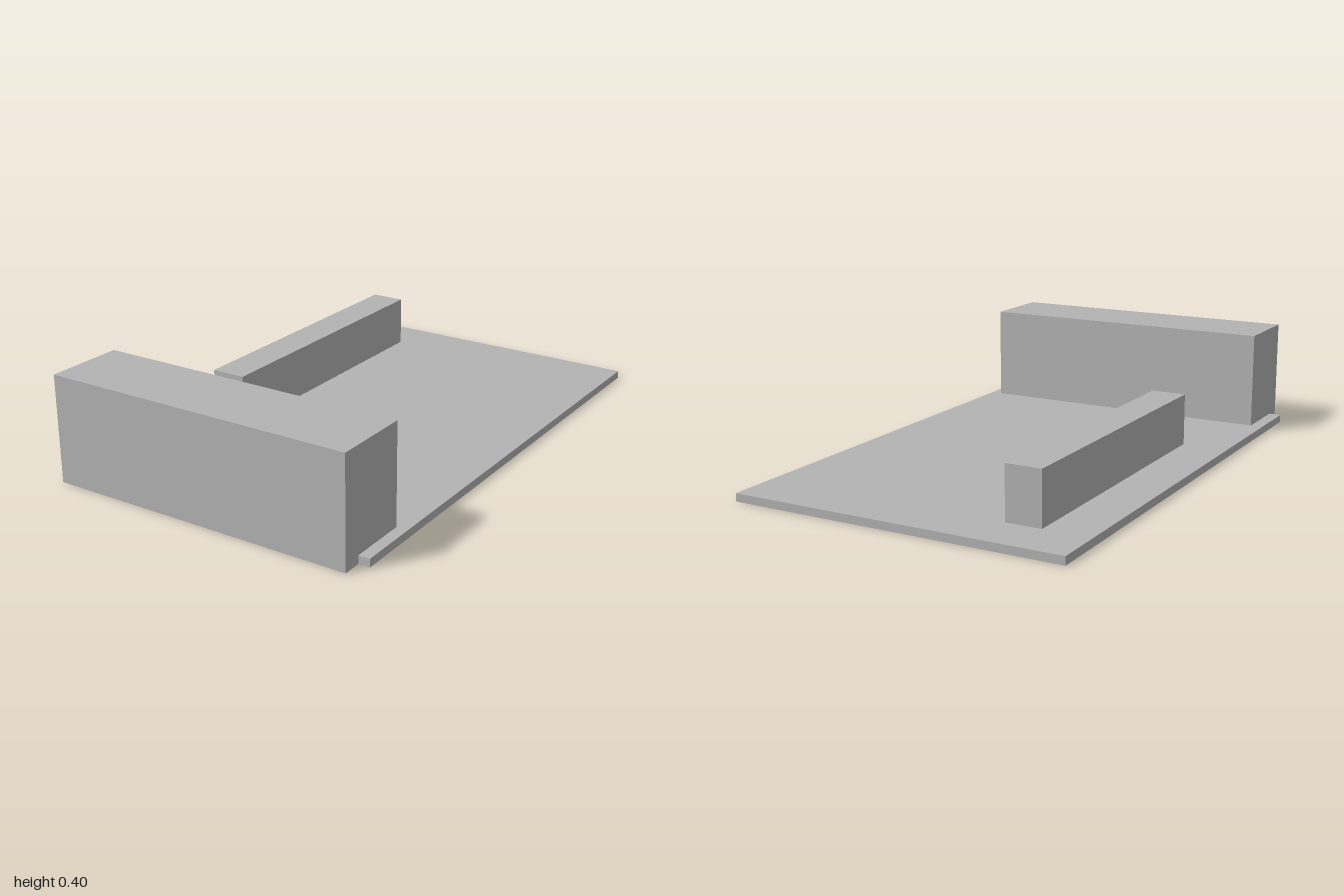
import * as THREE from 'three';

export function createModel() {
  const model = new THREE.Group();
  const grey = new THREE.MeshStandardMaterial({ color: 0xb3b3b3 });
  grey.name = 'grey';

  // Box given by its two opposite corners
  function addBox(name, [x0, y0, z0], [x1, y1, z1]) {
    const mesh = new THREE.Mesh(new THREE.BoxGeometry(x1 - x0, y1 - y0, z1 - z0), grey);
    mesh.name = name;
    mesh.position.set((x0 + x1) / 2, (y0 + y1) / 2, (z0 + z1) / 2);
    model.add(mesh);
  }

  // Thin base plate
  addBox('basePlate', [-0.635, 0, -1], [0.635, 0.03, 0.93]);
  // Tall block across the front, reaching past the plate edge down to the ground
  addBox('frontBlock', [-0.587, 0, 0.707], [0.593, 0.4, 1]);
  // Low bar running lengthwise on the right side
  addBox('sideBar', [-0.457, 0.03, -0.82], [-0.322, 0.227, 0.315]);

  return model;
}
